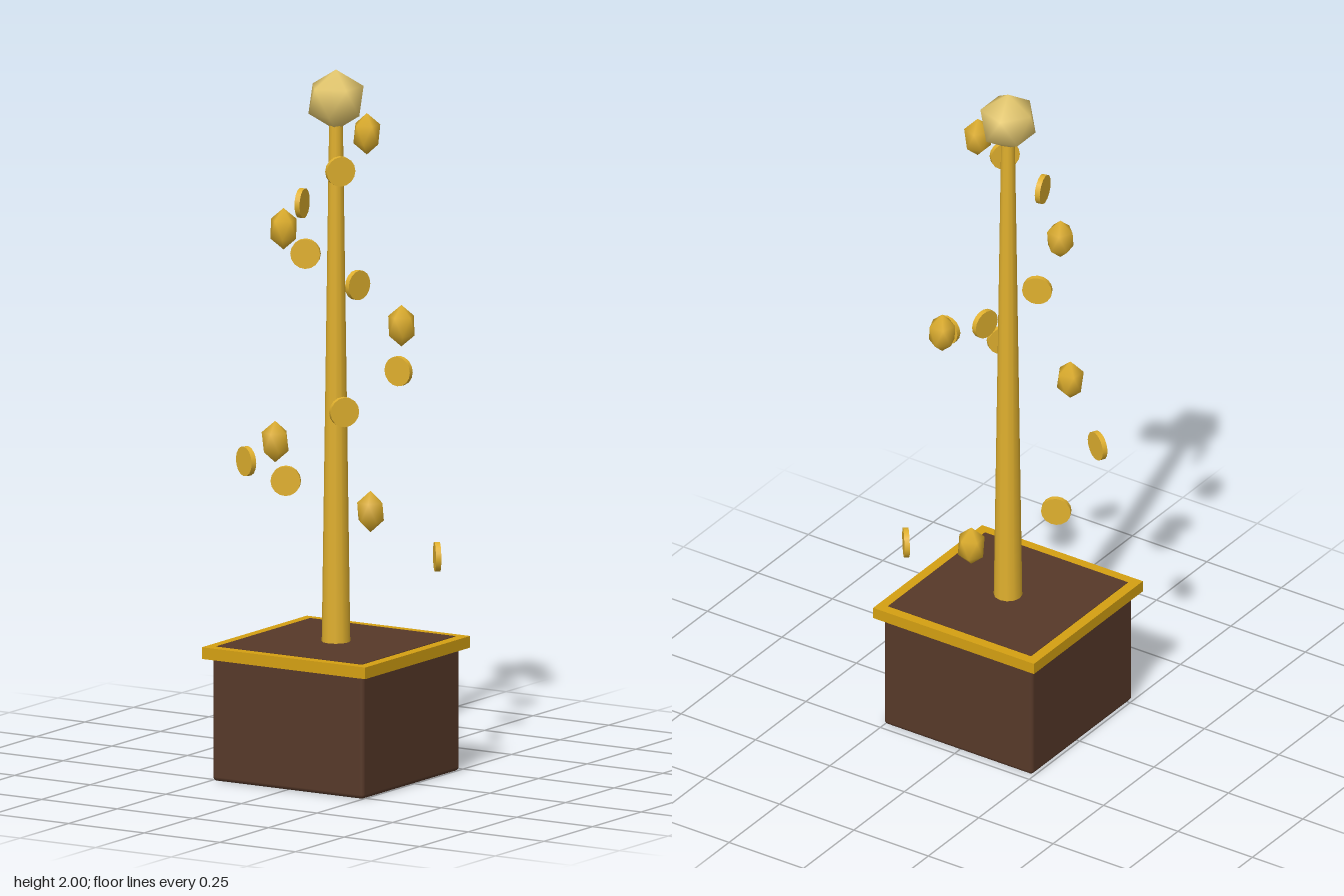
import * as THREE from 'three';
import { mergeVertices } from 'three/addons/utils/BufferGeometryUtils.js';
import { RoundedBoxGeometry } from 'three/addons/geometries/RoundedBoxGeometry.js';

const paint = (color) => new THREE.MeshStandardMaterial({ color });
const gold = paint(0xe0b02e);
const rimGold = paint(0xd4a012);
const paleGold = paint(0xe8cb70);
const brown = paint(0x573929);

// Smooth-shaded icosahedron standing on one of its corners
function pointedGem(radius, stretch = 1) {
  let g = new THREE.IcosahedronGeometry(radius, 0);
  g.rotateZ(Math.atan(2 / (1 + Math.sqrt(5))));
  g.scale(1, stretch, 1);
  g.deleteAttribute('normal');
  g.deleteAttribute('uv');
  g = mergeVertices(g, 1e-4);
  g.computeVertexNormals();
  return g;
}

export function createModel() {
  const model = new THREE.Group();
  model.name = 'spiralTree';
  const tree = new THREE.Group();
  tree.name = 'tree';
  tree.position.set(0.004, 0, 0.02);
  model.add(tree);

  const add = (name, geometry, material, x, y, z) => {
    const mesh = new THREE.Mesh(geometry, material);
    mesh.name = name;
    mesh.position.set(x, y, z);
    tree.add(mesh);
    return mesh;
  };

  // Square planter with a gold rim and a dark soil surface
  add('planter', new RoundedBoxGeometry(0.5, 0.37, 0.5, 2, 0.012), brown, 0, 0.185, 0);
  add('rim', new THREE.BoxGeometry(0.54, 0.033, 0.54), rimGold, 0, 0.3635, 0);
  add('soil', new THREE.BoxGeometry(0.48, 0.02, 0.48), brown, 0, 0.3715, 0);

  // Tapering trunk with a pale finial
  add('trunk', new THREE.CylinderGeometry(0.019, 0.04, 1.5, 12), gold, 0, 1.12, 0);
  add('finial', pointedGem(0.086), paleGold, 0, 1.916, 0);

  // Two-turn spiral of floating coins, every third one a gem
  const coin = new THREE.CylinderGeometry(0.042, 0.042, 0.015, 16).rotateX(Math.PI / 2);
  const gem = pointedGem(0.042, 1.4);
  for (let i = 0; i < 14; i++) {
    const angle = -(i + 1) * Math.PI * 2 / 7;
    const r = 0.297 - 0.015 * i;
    const isGem = i % 3 === 1;
    const leaf = add(isGem ? 'gem' : 'coin', isGem ? gem : coin, gold,
      r * Math.cos(angle), 0.602 + 0.0945 * i, r * Math.sin(angle));
    leaf.rotation.y = angle;
  }
  return model;
}
